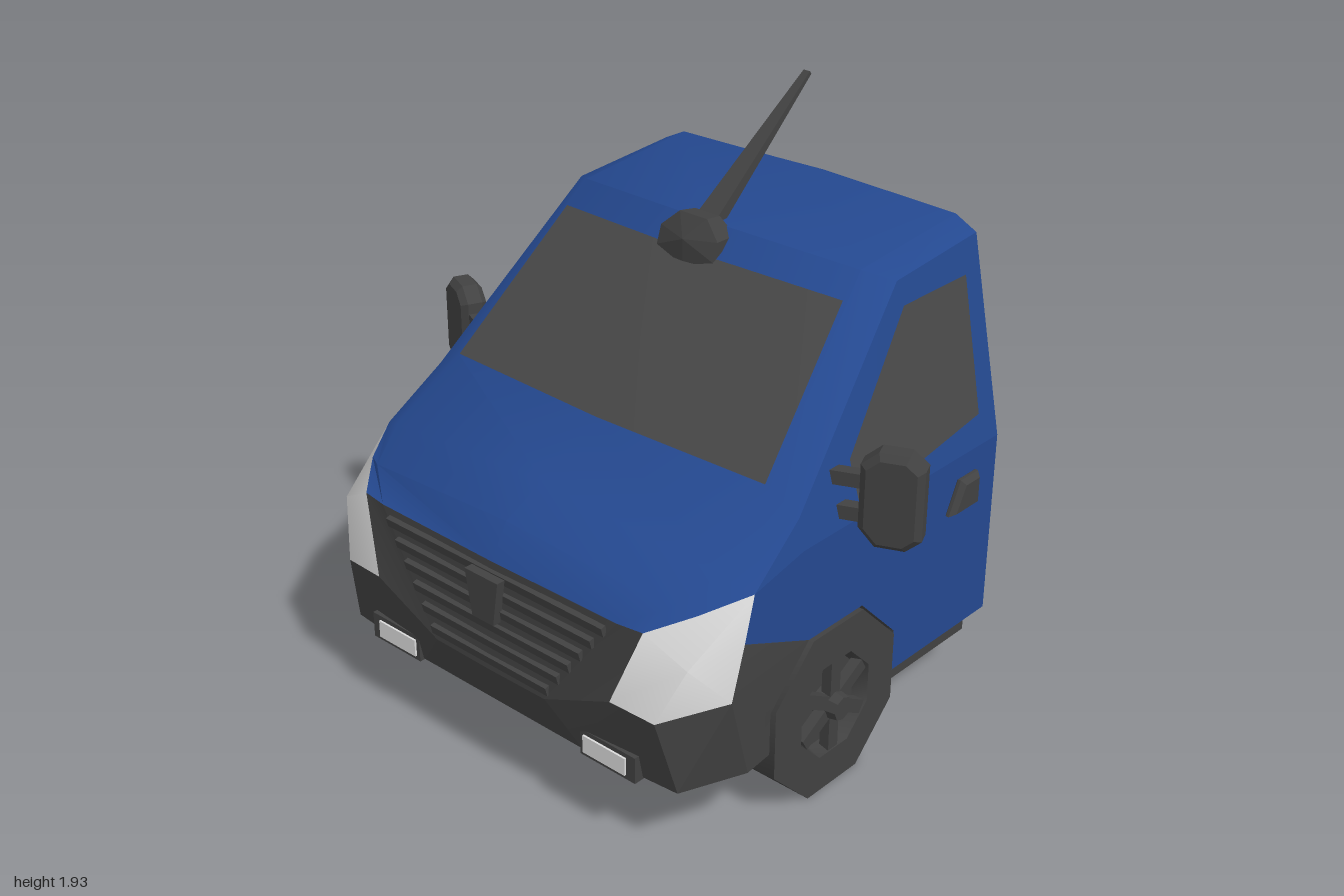
import * as THREE from 'three';
import { toCreasedNormals } from 'three/addons/utils/BufferGeometryUtils.js';
import { ConvexGeometry } from 'three/addons/geometries/ConvexGeometry.js';

const material = (name, color) => {
  const m = new THREE.MeshStandardMaterial({ color, side: THREE.DoubleSide });
  m.name = name;
  return m;
};

// Surface through rows of [x, y, z] points, all rows of equal length
function patch(rows, crease = 0.6) {
  const p = [];
  for (let i = 0; i < rows.length - 1; i++) {
    for (let j = 0; j < rows[i].length - 1; j++) {
      const a = rows[i][j], b = rows[i][j + 1], c = rows[i + 1][j + 1], d = rows[i + 1][j];
      p.push(...a, ...d, ...b, ...b, ...d, ...c);
    }
  }
  const g = new THREE.BufferGeometry();
  g.setAttribute('position', new THREE.Float32BufferAttribute(p, 3));
  return toCreasedNormals(g, crease);
}

// Full-width row from a half row that ends on the centre line
const fullRow = (half) => [...half, ...half.slice(0, -1).reverse().map(([x, y, z]) => [-x, y, z])];

const shapeOf = (pts) => new THREE.Shape(pts.map(([a, b]) => new THREE.Vector2(a, b)));

// Flat side plate outlined in [z, y], placed at x = xAt(y)
function sidePlate(pts, xAt) {
  const g = new THREE.ShapeGeometry(shapeOf(pts.map(([z, y]) => [-z, y])));
  const p = g.attributes.position;
  for (let i = 0; i < p.count; i++) p.setXYZ(i, xAt(p.getY(i)), p.getY(i), -p.getX(i));
  g.computeVertexNormals();
  return g;
}

export function createModel() {
  const van = new THREE.Group();
  van.name = 'vanCab';
  const blue = material('bluePaint', 0x24488f);
  const dark = material('darkPlastic', 0x414141);
  const glass = material('tintedGlass', 0x484848);
  const lamp = material('lampWhite', 0xd9d9d9);

  const add = (name, geo, mat, parent = van) => {
    const m = new THREE.Mesh(geo, mat);
    m.name = name;
    parent.add(m);
    return m;
  };
  const leftSide = new THREE.Group();
  leftSide.name = 'leftSide';
  const side = (name, geo, mat) => add(name, geo, mat, leftSide);

  // Key points of the shell (left half)
  const shoulder = [[0.64, 1.55, -0.73], [0.646, 1.52, -0.32], [0.754, 1.0, 0.24], [0.775, 0.855, 0.455]];
  const lampTop = shoulder[3], lampIn = [0.59, 0.77, 0.715], grillTop = [0.5, 0.767, 0.725];
  const lampLow = [0.5, 0.52, 0.76], corner = [0.66, 0.51, 0.745];
  const cheek = [0.8, 0.56, 0.575], lampBack = [0.78, 0.71, 0.5];
  const noseTop = [0, 0.77, 0.735];
  const arch = [[-0.23, 0.26], [-0.23, 0.405], [-0.055, 0.58], [0.2, 0.58], [0.37, 0.405], [0.37, 0.26]];

  // Roof, windscreen frame and bonnet in one skin
  add('roofAndBonnet', patch([
    [[0.58, 1.53, -0.78], [0.52, 1.565, -0.78], [0, 1.58, -0.78]],
    [shoulder[0], [0.56, 1.59, -0.73], [0, 1.605, -0.72]],
    [shoulder[1], [0.56, 1.55, -0.257], [0, 1.57, -0.21]],
    [shoulder[2], [0.65, 1.065, 0.25], [0, 1.075, 0.28]],
    [lampTop, [0.68, 0.9, 0.5], [0, 0.953, 0.52]],
    [[0.69, 0.815, 0.6], [0.62, 0.83, 0.64], [0, 0.88, 0.67]],
    [lampIn, grillTop, noseTop],
  ].map(fullRow)), blue);

  // Rear wall and floor
  add('rearWall', patch([[0.7, 0.26], [0.7, 0.9], [0.58, 1.53], [0.52, 1.565]]
    .map(([x, y]) => [[x, y, -0.78], [-x, y, -0.78]])
    .concat([[[0, 1.58, -0.78], [0, 1.58, -0.78]]])), blue);
  add('floor', patch([[0.7, -0.78], [0.775, -0.73], [0.775, -0.23]]
    .map(([x, z]) => [[x, 0.26, z], [-x, 0.26, z]])), blue);

  // Body sides
  side('rearCorner', patch([
    [[0.7, 0.26, -0.78], [0.775, 0.26, -0.73]],
    [[0.7, 0.9, -0.78], [0.775, 0.9, -0.73]],
    [[0.58, 1.53, -0.78], shoulder[0]],
  ], 0.3), blue);
  side('lowerSide', sidePlate([[-0.73, 0.26], ...arch.slice(0, 4), [0.5, 0.71], [0.455, 0.855],
    [0.24, 0.9], [-0.73, 0.9]], () => 0.775), blue);
  side('upperSide', patch([
    [[0.775, 0.9, -0.73], [0.775, 0.9, -0.32], [0.775, 0.9, 0.24], lampTop],
    shoulder,
  ]), blue);

  // Glass
  add('windscreen', patch([
    [[0.565, 1.482, -0.17], [0, 1.495, -0.127]],
    [[0.64, 1.074, 0.257], [0, 1.08, 0.288]],
  ].map(fullRow)), glass);
  side('sideWindow', sidePlate([[-0.635, 1.005], [-0.645, 1.445], [-0.33, 1.445], [0.0, 1.09], [-0.02, 0.925]],
    (y) => 0.783 - 0.208 * (y - 0.9)), glass);

  // Headlight: faces fanned around a bulging middle
  const bulge = [0.73, 0.69, 0.685];
  const rim = [lampTop, lampIn, lampLow, corner, cheek, lampBack, lampTop];
  side('headlight', patch([rim.map(() => bulge), rim], 1), lamp);

  // Dark nose and bumper
  const grillLow = [0.235, 0.405, 0.762], lowMid = [0.35, 0.26, 0.72];
  const lowCorner = [0.7, 0.26, 0.69], lowSide = [0.785, 0.26, 0.48];
  const archTop = [0.775, 0.58, 0.2], archMid = [0.775, 0.405, 0.37], archLow = [0.775, 0.26, 0.37];
  add('grillPanel', patch([[grillTop, noseTop], [grillLow, [0, 0.405, 0.765]], [lowMid, [0, 0.26, 0.72]]]
    .map(fullRow), 0.1), dark);
  side('nosePanel', patch([[grillTop, lampIn], [grillLow, lampLow]]), dark);
  side('bumperFront', patch([[grillLow, lampLow, corner], [lowMid, lowMid, lowCorner]]), dark);
  side('bumperCorner', patch([[corner, cheek], [lowCorner, lowSide]], 0.2), dark);
  side('bumperSide', patch([[lampBack, cheek, lowSide], [archTop, archMid, archLow]], 0.2), dark);
  add('bumperUnderside', patch([archLow, lowSide, lowCorner, [0.35, 0.26, 0.72]]
    .map(([x, y, z]) => [[x, y, z], [-x, y, z]])), dark);

  // Grill slats and plain centre badge
  for (let i = 0; i < 6; i++) {
    const t = 0.1 + i * 0.16;
    const slat = add('grillSlat', new THREE.BoxGeometry(2 * (0.225 + t * 0.262), 0.032, 0.018), dark);
    slat.position.set(0, 0.405 + t * 0.36, 0.763 - t * 0.03);
    slat.rotation.x = 0.25;
  }
  const badge = add('grillBadge', new THREE.ExtrudeGeometry(
    shapeOf([[-0.07, 0.74], [-0.045, 0.585], [0.045, 0.585], [0.07, 0.74]]),
    { depth: 0.03, bevelEnabled: false }), dark);
  badge.position.z = 0.75;

  // Fog lamps
  side('fogLampFrame', new THREE.BoxGeometry(0.22, 0.09, 0.04), dark).position.set(0.465, 0.3, 0.715);
  side('fogLamp', new THREE.BoxGeometry(0.17, 0.06, 0.05), lamp).position.set(0.455, 0.3, 0.717);

  // Wheel tunnel through the body
  add('wheelTunnel', patch(arch.map(([z, y]) => [[0.774, y, z], [-0.774, y, z]]), 0.2), dark);

  // Wheel: eight-sided tyre with recessed rim, spokes and hub
  const wheel = new THREE.Group();
  wheel.name = 'frontWheel';
  wheel.position.set(0.665, 0.287, 0.07);
  leftSide.add(wheel);
  const tyre = new THREE.LatheGeometry(
    [[0, -0.12], [0.31, -0.12], [0.31, 0.12], [0.175, 0.12], [0.16, 0.07], [0, 0.07]]
      .map(([r, h]) => new THREE.Vector2(r, h)), 8, Math.PI / 8);
  add('tyre', toCreasedNormals(tyre.rotateZ(-Math.PI / 2), 0.85), dark, wheel);
  for (let i = 0; i < 6; i++) {
    const spoke = new THREE.BoxGeometry(0.035, 0.13, 0.045).translate(0.1, 0.095, 0);
    add('spoke', spoke.rotateX(i * Math.PI / 3), dark, wheel);
  }
  const hub = new THREE.CylinderGeometry(0.04, 0.055, 0.08, 8).rotateZ(-Math.PI / 2);
  add('hub', toCreasedNormals(hub, 0.5), dark, wheel).position.x = 0.11;

  // Skirt frame under the rear floor
  for (const z of [-0.695, -0.295]) {
    add('skirtCross', new THREE.BoxGeometry(1.42, 0.105, 0.03), dark).position.set(0, 0.208, z);
  }
  side('skirtSide', new THREE.BoxGeometry(0.03, 0.105, 0.43), dark).position.set(0.7, 0.208, -0.495);

  // Door handle
  const handle = new THREE.ExtrudeGeometry(
    shapeOf([[0.485, 0.725], [0.6, 0.725], [0.6, 0.81], [0.53, 0.81]]),
    { depth: 0.01, bevelThickness: 0.018, bevelSize: 0.014, bevelSegments: 1 });
  side('doorHandle', handle.rotateY(Math.PI / 2), dark).position.x = 0.778;

  // Door mirror on two arms
  const housing = new THREE.ExtrudeGeometry(
    shapeOf([[-0.075, -0.09], [-0.035, -0.135], [0.04, -0.135], [0.075, -0.105],
      [0.075, 0.105], [0.04, 0.135], [-0.035, 0.135], [-0.075, 0.1]]),
    { depth: 0.05, bevelThickness: 0.02, bevelSize: 0.02, bevelSegments: 1 }).translate(0, 0, -0.025);
  const mirror = side('mirrorHousing', housing, dark);
  mirror.position.set(0.897, 1.015, -0.01);
  mirror.rotation.y = 0.41;
  for (const y of [1.065, 0.955]) {
    const arm = side('mirrorArm', new THREE.BoxGeometry(0.15, 0.045, 0.04), dark);
    arm.position.set(0.78, y, 0.045);
    arm.rotation.y = 0.41;
  }

  // Roof aerial: faceted foot and tapering rod
  const foot = [[0, 1.455, -0.1], [0, 1.54, -0.1]];
  for (const s of [-1, 1]) {
    foot.push([s * 0.115, 1.49, -0.11], [s * 0.115, 1.55, -0.13], [s * 0.055, 1.605, -0.15],
      [s * 0.05, 1.595, -0.215], [s * 0.1, 1.54, -0.23]);
  }
  add('aerialFoot', new ConvexGeometry(foot.map((p) => new THREE.Vector3(...p))), dark);
  const from = new THREE.Vector3(0, 1.54, -0.19), to = new THREE.Vector3(0, 1.93, -0.685);
  const rod = new THREE.CylinderGeometry(0.018, 0.06, from.distanceTo(to), 4, 1)
    .rotateY(Math.PI / 4).scale(1, 1, 0.5);
  const aerial = add('aerialRod', toCreasedNormals(rod, 0.3), dark);
  aerial.position.copy(from).lerp(to, 0.5);
  aerial.quaternion.setFromUnitVectors(new THREE.Vector3(0, 1, 0), to.sub(from).normalize());

  // Mirror the left side to the right
  const rightSide = leftSide.clone();
  rightSide.name = 'rightSide';
  rightSide.scale.x = -1;
  van.add(leftSide, rightSide);
  return van;
}
